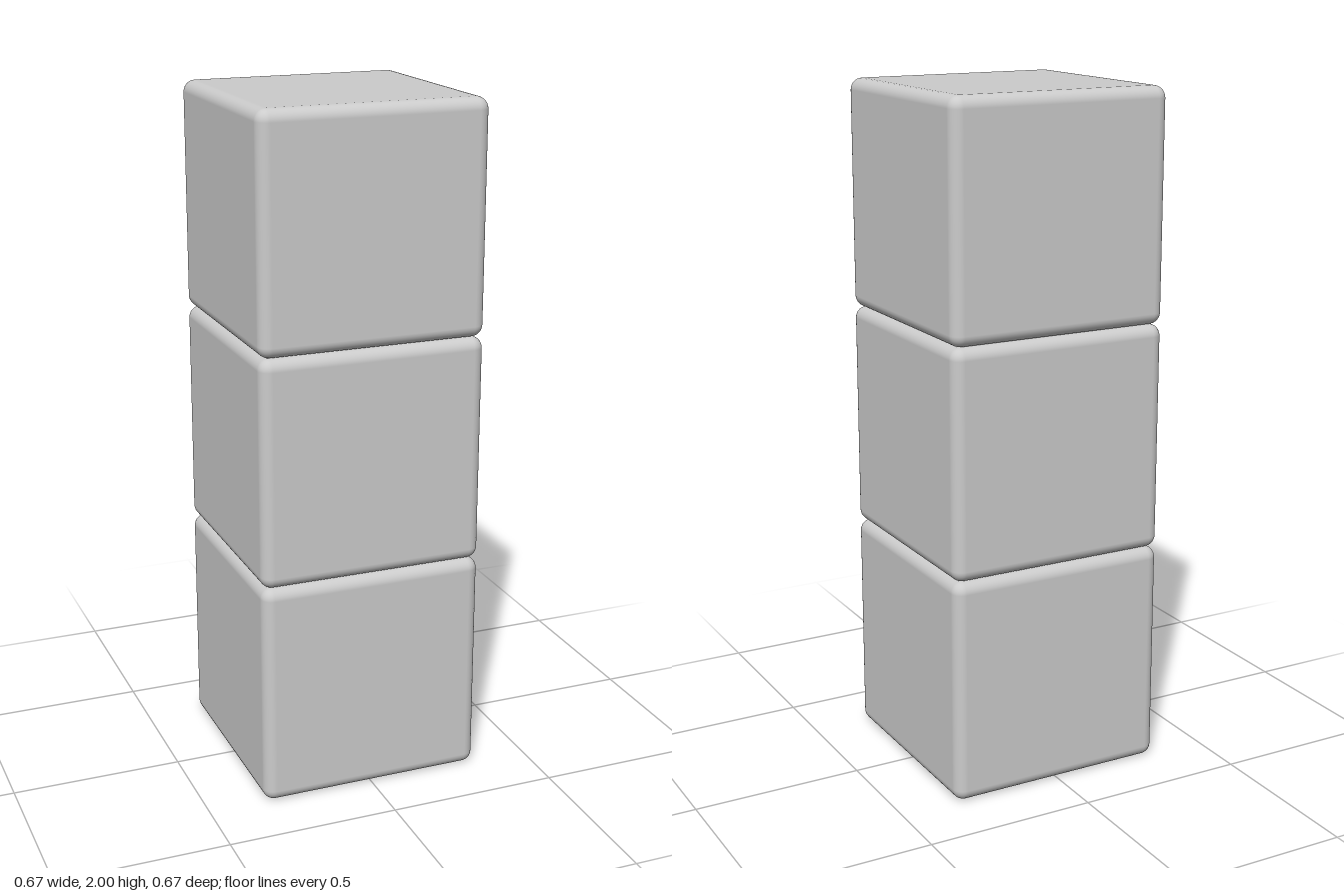
import * as THREE from 'three';
import { RoundedBoxGeometry } from 'three/addons/geometries/RoundedBoxGeometry.js';

// A tower of three equal cubes with softly rounded edges
export function createModel() {
  const group = new THREE.Group();
  group.name = 'cubeTower';

  const count = 3;
  const size = 2 / count;
  const edgeRadius = 0.034;
  const geometry = new RoundedBoxGeometry(size, size, size, 4, edgeRadius);
  const material = new THREE.MeshStandardMaterial({ color: 0xcccccc });
  const names = ['bottomCube', 'middleCube', 'topCube'];

  // Each cube rests on the one below
  names.forEach((name, i) => {
    const cube = new THREE.Mesh(geometry, material);
    cube.name = name;
    cube.position.y = size * (i + 0.5);
    group.add(cube);
  });

  return group;
}
